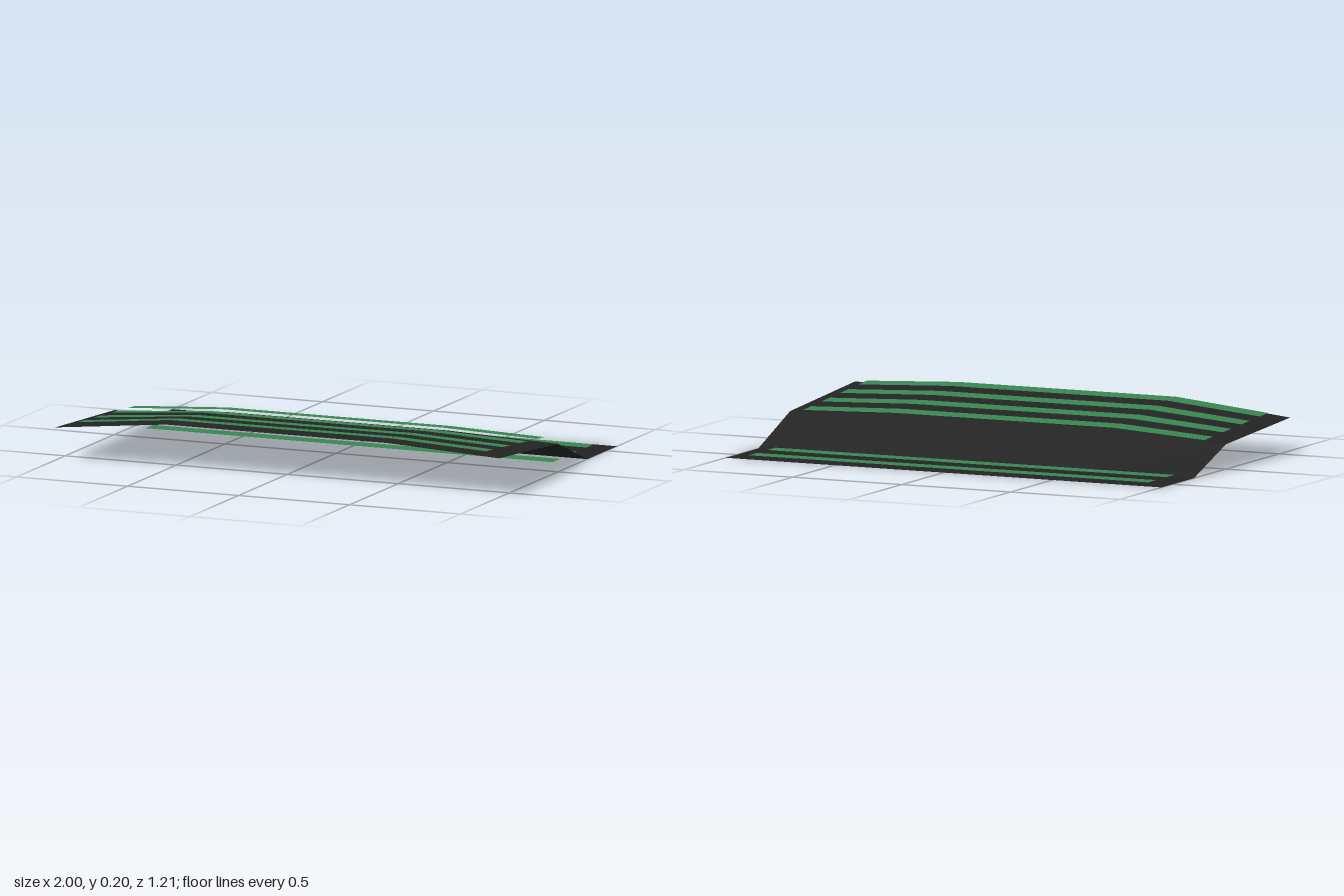
import * as THREE from 'three';

// Column positions across the sheet, and heights at its front edge and its fold
const X = [-1, -0.5, 0.5, 1];
const FRONT = [0.138, 0.189, 0.189, 0.164];
const FOLD = [0.103, 0.135, 0.135, 0.118];
const FRONT_Z = 0.605;

// Height of the folded front half at x and z, along straight facets
function slopeHeight(x, z) {
  const i = x < X[1] ? 0 : x < X[2] ? 1 : 2;
  const s = (x - X[i]) / (X[i + 1] - X[i]);
  const front = THREE.MathUtils.lerp(FRONT[i], FRONT[i + 1], s);
  const fold = THREE.MathUtils.lerp(FOLD[i], FOLD[i + 1], s);
  return THREE.MathUtils.lerp(fold, front, z / FRONT_Z);
}

// Faceted surface through rows of points, rows running from front to back
function gridSurface(xs, zs, height) {
  const positions = [];
  const index = [];
  const n = xs.length;
  zs.forEach((z) => xs.forEach((x) => positions.push(x, height(x, z), z)));
  for (let r = 0; r < zs.length - 1; r++) {
    for (let c = 0; c < n - 1; c++) {
      const a = r * n + c;
      index.push(a, a + 1, a + n + 1, a, a + n + 1, a + n);
    }
  }
  const indexed = new THREE.BufferGeometry();
  indexed.setAttribute('position', new THREE.Float32BufferAttribute(positions, 3));
  indexed.setIndex(index);
  const geometry = indexed.toNonIndexed();
  geometry.computeVertexNormals();
  return geometry;
}

export function createModel() {
  const group = new THREE.Group();
  const charcoal = new THREE.MeshStandardMaterial({ color: 0x232323, side: THREE.DoubleSide });
  charcoal.name = 'charcoal';
  const green = new THREE.MeshStandardMaterial({ color: 0x37854f, side: THREE.DoubleSide });
  green.name = 'green';

  // Thin sheet: raised folded front, ramp down, flat back
  const sheet = new THREE.Mesh(
    gridSurface(X, [FRONT_Z, 0, -0.3, -0.605], (x, z) => (z < -0.1 ? 0 : slopeHeight(x, z))),
    charcoal
  );
  sheet.name = 'sheet';
  group.add(sheet);

  // Seven strips floating just above the front slope or the back level;
  // the fifth lies flat underneath the ramp
  const lift = 0.015;
  for (let i = 0; i < 7; i++) {
    const z = 0.52 - i * 0.1735;
    const onSlope = i < 4;
    const end = onSlope ? 0.921 : 0.916;
    const strip = new THREE.Mesh(
      gridSurface([-end, -0.5, 0.5, end], [z + 0.039, z - 0.039], (x, zz) =>
        onSlope ? slopeHeight(x, zz) + lift : 0.01
      ),
      green
    );
    strip.name = 'strip' + (i + 1);
    group.add(strip);
  }
  return group;
}
